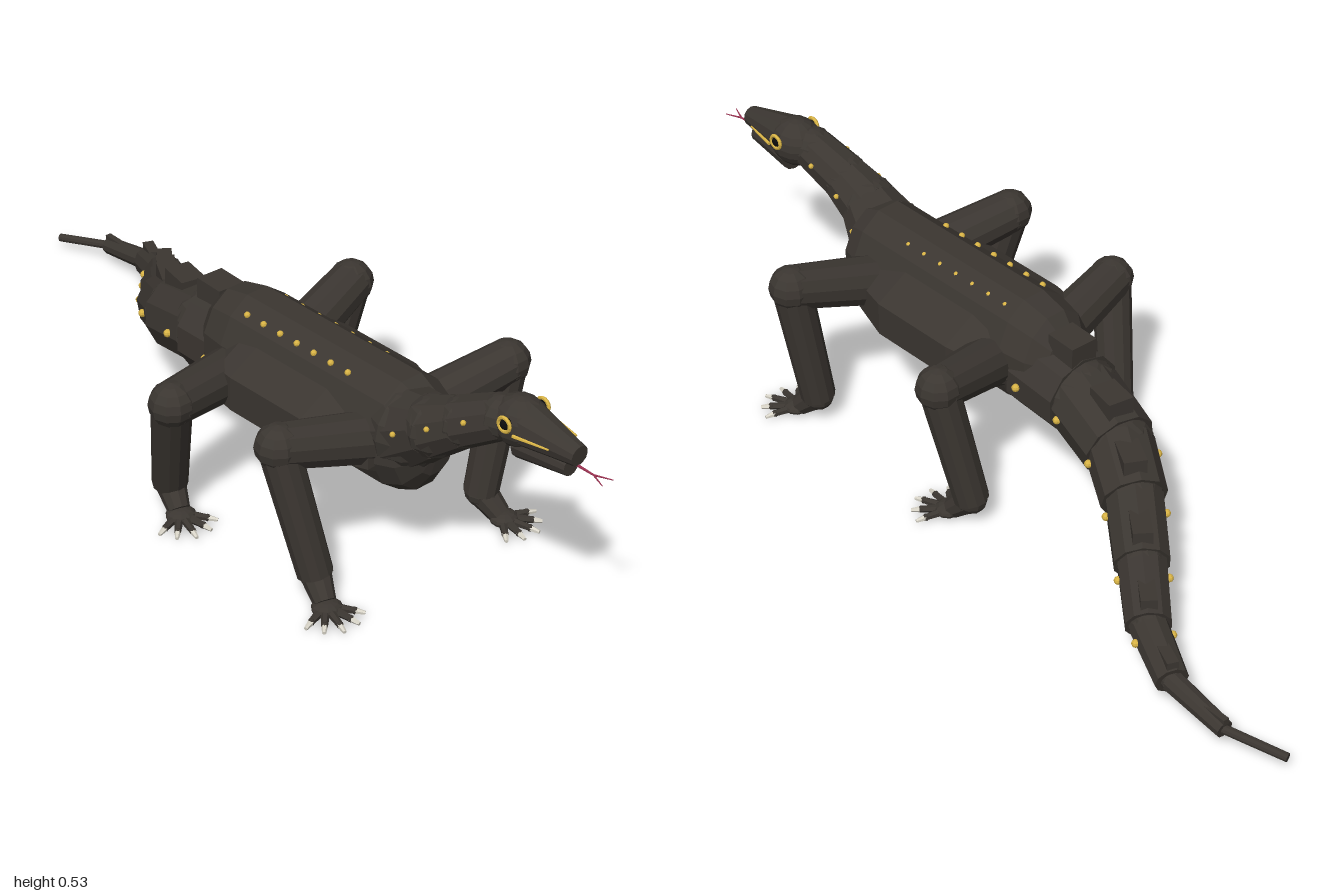
import * as THREE from 'three';

const mat = (color) => new THREE.MeshStandardMaterial({ color, flatShading: true });
const skin = mat(0x3b3631), yellow = mat(0xd8b345), claw = mat(0xd8d4c8), pink = mat(0x9a3050), black = mat(0x0c0c0c);
const V = (x, y, z) => new THREE.Vector3(x, y, z);

function add(parent, name, geometry, material, pos) {
  const mesh = new THREE.Mesh(geometry, material);
  mesh.name = name;
  if (pos) mesh.position.copy(pos);
  parent.add(mesh);
  return mesh;
}

// Tapered cylinder running from point a to point b
function rod(parent, name, a, b, ra, rb, sides = 12, material = skin) {
  const dir = b.clone().sub(a);
  const mesh = add(parent, name, new THREE.CylinderGeometry(rb, ra, dir.length(), sides), material,
    a.clone().add(b).multiplyScalar(0.5));
  mesh.quaternion.setFromUnitVectors(V(0, 1, 0), dir.normalize());
  return mesh;
}

function ball(parent, name, pos, r, material = skin, w = 10, h = 8) {
  return add(parent, name, new THREE.SphereGeometry(r, w, h), material, pos);
}

function spot(parent, pos, r) {
  return ball(parent, 'spot', pos, r, yellow, 8, 6);
}

// Elliptical body lathed along z from [radius factor, z] pairs
function barrel(parent, name, profile, sides, halfWidth, halfHeight, pos) {
  const points = profile.map(([r, z]) => new THREE.Vector2(r, z));
  const geo = new THREE.LatheGeometry(points, sides, Math.PI / sides).rotateX(Math.PI / 2);
  return add(parent, name, geo.scale(halfWidth, halfHeight, 1), skin, pos);
}

// Leg with bent joint, sloping ankle and five clawed toes
function leg(name, root, joint, ankle, yaw) {
  const g = new THREE.Group();
  g.name = name;
  rod(g, 'upperLeg', root, joint, 0.056, 0.048);
  ball(g, 'joint', joint, 0.049);
  rod(g, 'lowerLeg', joint, ankle, 0.043, 0.038);
  ball(g, 'ankle', ankle, 0.035);

  const foot = new THREE.Group();
  foot.name = 'foot';
  foot.position.set(ankle.x, 0, ankle.z);
  foot.rotation.y = yaw;
  rod(foot, 'instep', V(0, ankle.y, 0), V(0, 0.022, 0.045), 0.033, 0.024, 10);
  ball(foot, 'palm', V(0, 0.016, 0.055), 0.03).scale.set(1.1, 0.5, 1);
  for (let i = -2; i <= 2; i++) {
    const a = i * 0.48, dir = V(Math.sin(a), 0, Math.cos(a));
    const start = V(0, 0.016, 0.05), tip = start.clone().addScaledVector(dir, 0.066 - Math.abs(i) * 0.004);
    tip.y = 0.012;
    rod(foot, 'toe', start, tip, 0.011, 0.007, 6);
    ball(foot, 'toeTip', tip, 0.008, skin, 6, 4);
    const end = tip.clone().addScaledVector(dir, 0.022);
    end.y = 0.009;
    rod(foot, 'claw', tip, end, 0.007, 0.004, 6, claw);
  }
  g.add(foot);
  return g;
}

export function createModel() {
  const model = new THREE.Group();
  model.name = 'lizard';

  // Trunk: tall narrow core with lower, wider flanks
  barrel(model, 'trunk', [[0, -0.1], [0.6, -0.075], [0.88, -0.04], [1, 0.025], [1, 0.48], [0.85, 0.525], [0.5, 0.555], [0, 0.565]],
    12, 0.104, 0.13, V(-0.017, 0.315, 0));
  barrel(model, 'flanks', [[0, 0], [0.66, 0.01], [0.95, 0.07], [1, 0.12], [1, 0.33], [0.72, 0.48], [0, 0.5]],
    8, 0.173, 0.1, V(-0.015, 0.3, 0));
  for (const x of [-0.075, 0.03])
    for (let i = 0; i < 7; i++) spot(model, V(x, 0.42, 0.06 + i * 0.05), 0.007);

  // Neck: overlapping tapered segments
  const neck = [[-0.03, 0.34, 0.49, 0.092], [-0.045, 0.385, 0.575, 0.066], [-0.038, 0.425, 0.645, 0.054], [-0.02, 0.47, 0.73, 0.048]];
  neck.forEach(([x, y, z, r], i) => {
    ball(model, 'neckJoint', V(x, y, z), r);
    const n = neck[i + 1];
    if (!n) return;
    rod(model, 'neck', V(x, y, z), V(n[0], n[1], n[2]), r, n[3], 10);
    for (const s of [-1, 1])
      spot(model, V((x + n[0]) / 2 + s * (r + n[3]) / 2, (y + n[1]) / 2 + 0.012, (z + n[2]) / 2), 0.006);
  });

  // Head: skull, upper snout, lower jaw, eyes and cheek stripes
  const head = new THREE.Group();
  head.name = 'head';
  head.position.x = -0.008;
  ball(head, 'skull', V(0, 0.475, 0.77), 0.054, skin, 12, 10).scale.z = 1.15;
  rod(head, 'snout', V(0, 0.477, 0.78), V(0, 0.468, 0.925), 0.05, 0.022);
  rod(head, 'jaw', V(0, 0.434, 0.78), V(0, 0.435, 0.905), 0.036, 0.02);
  for (const s of [-1, 1]) {
    ball(head, 'eye', V(s * 0.047, 0.49, 0.777), 0.013, black);
    add(head, 'eyeRing', new THREE.TorusGeometry(0.015, 0.004, 6, 14), yellow, V(s * 0.053, 0.49, 0.777)).rotation.y = Math.PI / 2;
    rod(head, 'cheekStripe', V(s * 0.053, 0.475, 0.8), V(s * 0.038, 0.476, 0.88), 0.004, 0.002, 6, yellow);
    rod(head, 'tongueFork', V(0, 0.444, 0.963), V(s * 0.015, 0.444, 0.999), 0.002, 0.001, 6, pink);
  }
  rod(head, 'tongue', V(0, 0.447, 0.88), V(0, 0.444, 0.965), 0.004, 0.002, 6, pink);
  model.add(head);

  // Tail: stepped chain of segments, each ending in a raised dorsal plate
  const tail = [
    [-0.012, 0.285, 0.0, 0.096], [-0.005, 0.277, -0.135, 0.085], [0.025, 0.24, -0.275, 0.074], [0.085, 0.195, -0.38, 0.062],
    [0.175, 0.145, -0.495, 0.052], [0.26, 0.1, -0.6, 0.04], [0.314, 0.066, -0.72, 0.024],
    [0.32, 0.042, -0.87, 0.01], [0.276, 0.026, -0.997, 0.008]];
  for (let i = 0; i + 1 < tail.length; i++) {
    const [x, y, z, r] = tail[i], n = tail[i + 1];
    const a = V(x, y, z), b = V(n[0], n[1], n[2]), dir = b.clone().sub(a).normalize();
    const endR = r * 0.7 + n[3] * 0.3;
    rod(model, 'tailSegment', a, b, r, endR, 10);
    if (i > 6) continue;
    ball(model, 'tailJoint', b, n[3]);
    const plate = add(model, 'dorsalPlate', new THREE.BoxGeometry(endR * 0.7, endR * 0.7, 0.075), skin,
      b.clone().addScaledVector(dir, -0.034).setY(n[1] + endR * 1.05));
    plate.rotation.y = Math.atan2(dir.x, dir.z);
    if (i > 5) continue;
    const side = V(-dir.z, 0, dir.x).normalize();
    for (const s of [-1, 1])
      spot(model, a.clone().lerp(b, 0.25).addScaledVector(side, s * (r * 0.93 + n[3] * 0.07)), 0.009);
  }

  // Legs in mid-stride
  model.add(
    leg('frontLeftLeg', V(0.05, 0.31, 0.425), V(0.26, 0.363, 0.475), V(0.212, 0.065, 0.462), 0.3),
    leg('frontRightLeg', V(-0.08, 0.31, 0.44), V(-0.285, 0.35, 0.387), V(-0.243, 0.065, 0.452), -0.3),
    leg('rearLeftLeg', V(0.05, 0.3, 0.06), V(0.26, 0.35, 0.012), V(0.212, 0.065, -0.03), 0.3),
    leg('rearRightLeg', V(-0.08, 0.29, 0.04), V(-0.303, 0.315, 0.088), V(-0.245, 0.065, 0.01), -0.3));
  return model;
}
